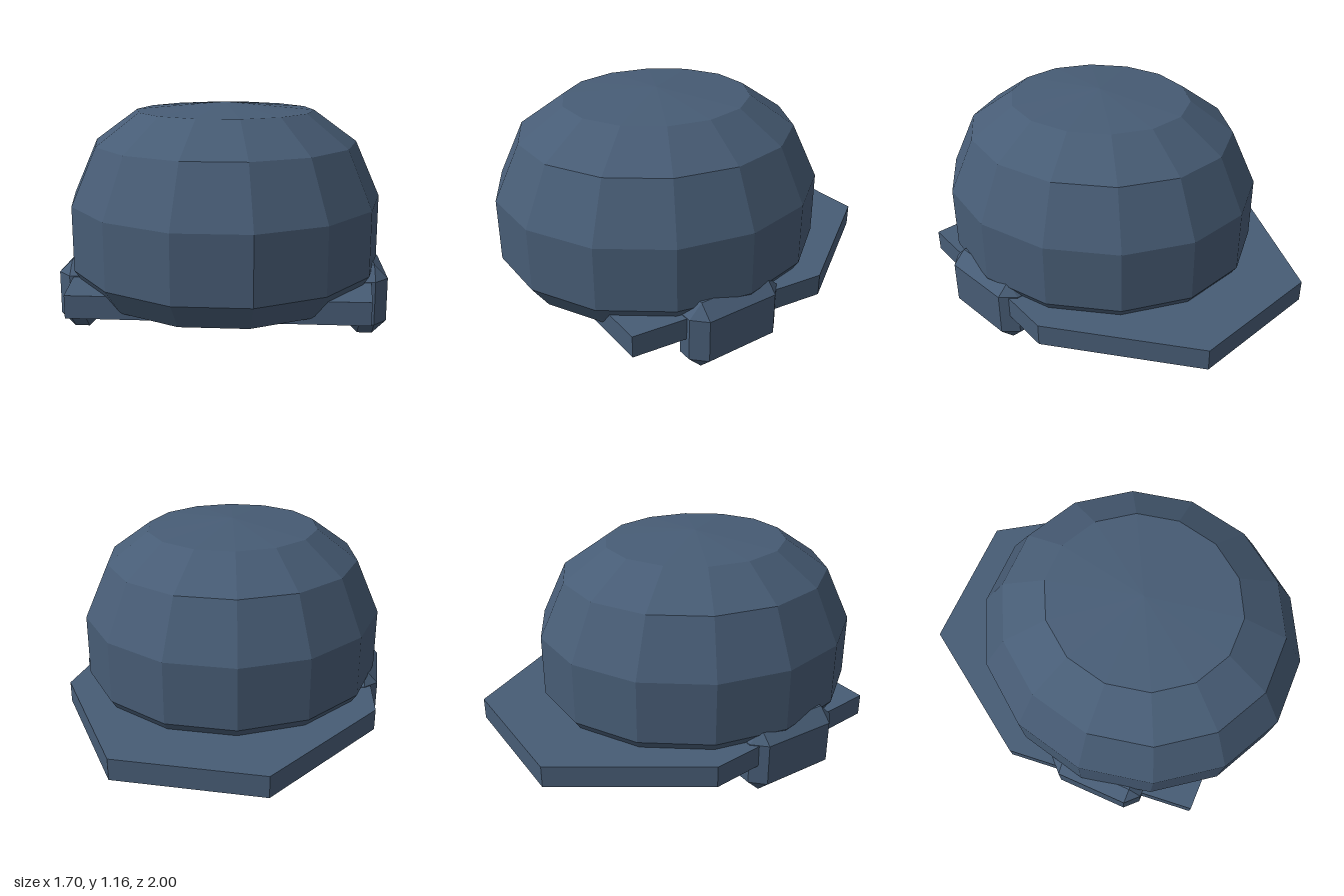
import * as THREE from 'three';
import { ConvexGeometry } from 'three/addons/geometries/ConvexGeometry.js';

// box with every edge and corner cut off by c
function chamferedBox(w, h, d, c) {
  const points = [];
  for (const sx of [-1, 1]) for (const sy of [-1, 1]) for (const sz of [-1, 1]) {
    for (let axis = 0; axis < 3; axis++) {
      const p = [w / 2, h / 2, d / 2].map((v, i) => (i === axis ? v : v - c));
      points.push(new THREE.Vector3(p[0] * sx, p[1] * sy, p[2] * sz));
    }
  }
  return new ConvexGeometry(points);
}

export function createModel() {
  const group = new THREE.Group();
  const slateBlue = new THREE.MeshStandardMaterial({ color: 0x475c75, flatShading: true });
  slateBlue.name = 'slateBlue';

  function add(name, geometry, x, y, z) {
    const mesh = new THREE.Mesh(geometry, slateBlue);
    mesh.name = name;
    mesh.position.set(x, y, z);
    group.add(mesh);
  }

  // faceted oval dome, 14 sides, with a tapered closed underside
  const profile = [
    [0, 0.207], [0.895, 0.207], [1, 0.338], [1, 0.67],
    [0.842, 0.96], [0.57, 1.122], [0, 1.163],
  ].map(([r, y]) => new THREE.Vector2(r, y));
  const dome = new THREE.LatheGeometry(profile, 14, Math.PI / 2);
  dome.scale(0.82, 1, 0.88);
  add('dome', dome, 0, 0, 0.14);

  // flat six-sided base plate, narrow at the back
  const outline = new THREE.Shape(
    [[-0.38, -1], [0.38, -1], [0.84, -0.3], [0.727, 0.762], [-0.727, 0.762], [-0.84, -0.3]]
      .map(([x, z]) => new THREE.Vector2(x, z)));
  const plate = new THREE.ExtrudeGeometry(outline, { depth: 0.115, bevelEnabled: false });
  plate.rotateX(Math.PI / 2);
  add('basePlate', plate, 0, 0.292, 0);

  // chamfered side pods
  for (const side of [-1, 1]) {
    add(side > 0 ? 'leftPod' : 'rightPod', chamferedBox(0.215, 0.366, 0.54, 0.07),
      side * 0.74, 0.183, 0.21);
  }
  return group;
}
